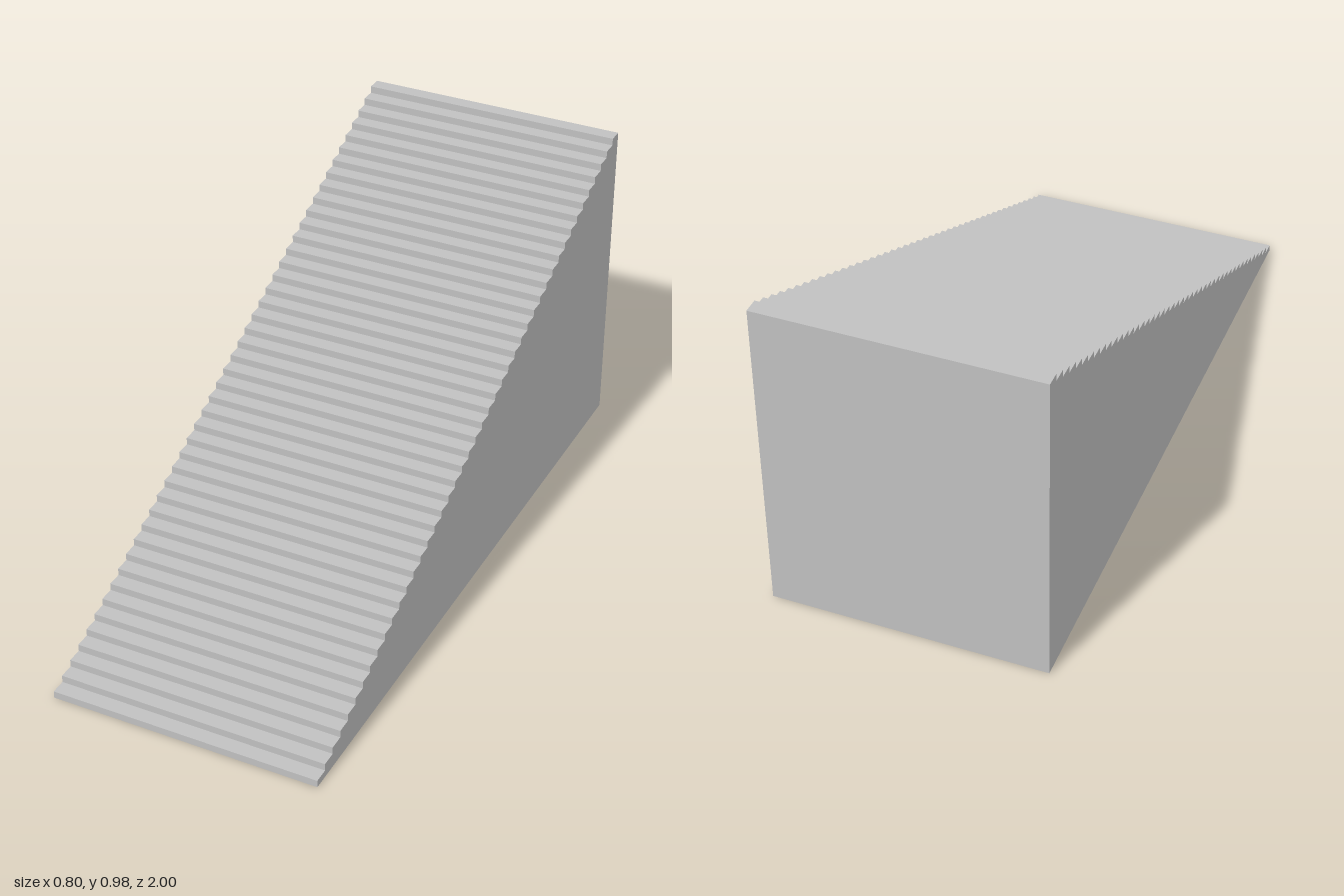
import * as THREE from 'three';

const STEPS = 45, WIDTH = 0.8, LENGTH = 2, HEIGHT = 0.975;

export function createModel() {
  const model = new THREE.Group();
  model.name = 'staircase';
  const stone = new THREE.MeshStandardMaterial({ color: 0xc0c0c0 });
  stone.name = 'light grey stone';

  // Side profile: climbs from the front edge to the full-height back wall
  const run = LENGTH / STEPS, rise = HEIGHT / STEPS;
  const profile = new THREE.Shape();
  profile.moveTo(-LENGTH / 2, 0);
  for (let i = 0; i < STEPS; i++) {
    profile.lineTo(-LENGTH / 2 + i * run, (i + 1) * rise);
    profile.lineTo(-LENGTH / 2 + (i + 1) * run, (i + 1) * rise);
  }
  profile.lineTo(LENGTH / 2, 0);
  profile.closePath();

  // Solid flight, extruded across the width and turned to face +z
  const geometry = new THREE.ExtrudeGeometry(profile, { depth: WIDTH, bevelEnabled: false });
  geometry.translate(0, 0, -WIDTH / 2);
  geometry.rotateY(Math.PI / 2);

  const flight = new THREE.Mesh(geometry, stone);
  flight.name = 'stairFlight';
  model.add(flight);
  return model;
}
